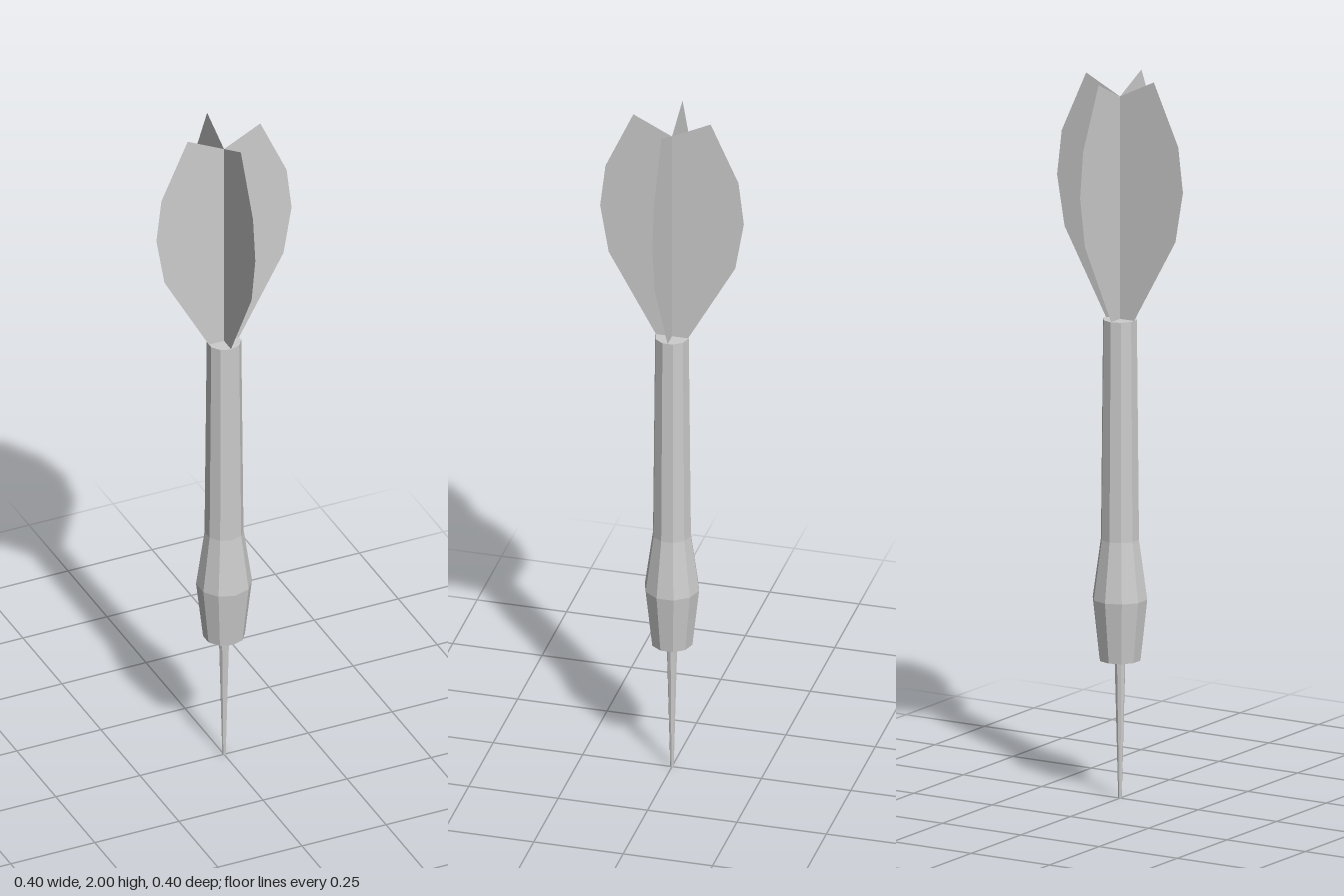
import * as THREE from 'three';

export function createModel() {
  const model = new THREE.Group();
  model.name = 'dart';

  const steel = new THREE.MeshStandardMaterial({ color: 0xcccccc, flatShading: true });
  steel.name = 'grey';
  const finGrey = steel.clone(); // same grey, visible from both sides
  finGrey.name = 'grey';
  finGrey.side = THREE.DoubleSide;

  const add = (name, geometry, material) => {
    const mesh = new THREE.Mesh(geometry, material);
    mesh.name = name;
    model.add(mesh);
    return mesh;
  };
  const turned = (points, sides) =>
    new THREE.LatheGeometry(points.map(([r, y]) => new THREE.Vector2(r, y)), sides);

  // Tapered needle
  add('needle', turned([[0, 0], [0.005, 0], [0.015, 0.39]], 8), steel);

  // Ten-sided barrel swelling near the bottom, running up into the shaft
  add('barrelAndShaft', turned([
    [0, 0.385], [0.057, 0.385], [0.076, 0.555], [0.053, 0.72], [0.047, 1.33], [0, 1.33],
  ], 10), steel);

  // Four flat flight fins, each one half of the leaf outline
  const outline = [
    [0, 1.33], [0.045, 1.33], [0.177, 1.565], [0.201, 1.705],
    [0.186, 1.83], [0.108, 2], [0, 1.947],
  ];
  const fin = new THREE.ShapeGeometry(new THREE.Shape(outline.map(([x, y]) => new THREE.Vector2(x, y))));
  ['leftFin', 'backFin', 'rightFin', 'frontFin'].forEach((name, i) => {
    add(name, fin, finGrey).rotation.y = i * Math.PI / 2;
  });

  return model;
}
